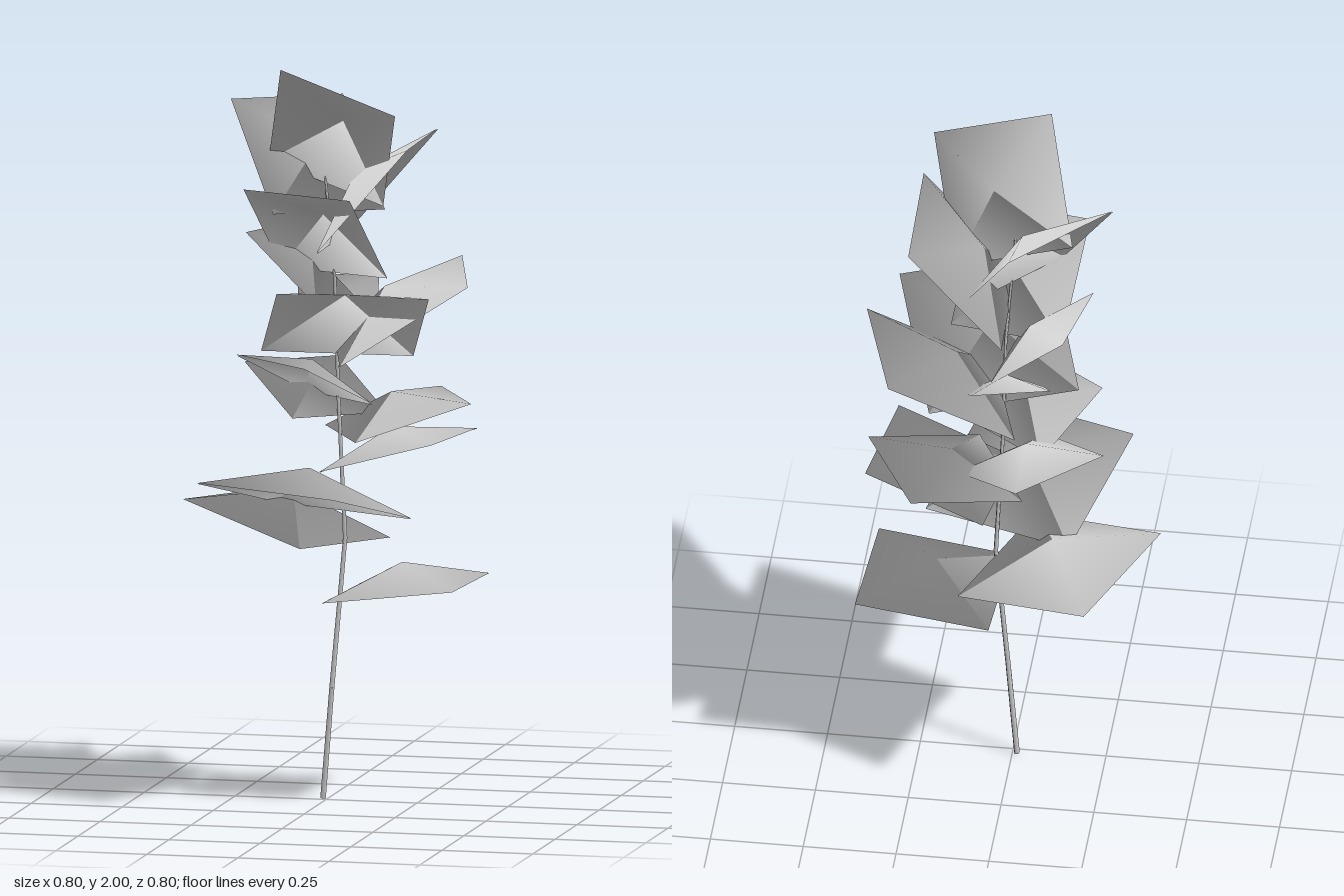
import * as THREE from 'three';

// Stem centre line, from the ground up
const STEM = [[-0.012, 0, -0.017], [0.012, 0.3, -0.018], [0.04, 0.7, -0.053], [0.02, 1.1, -0.055],
  [0.015, 1.4, -0.04], [-0.008, 1.72, -0.012]].map(p => new THREE.Vector3(...p));

// Leaves: height on the stem, then the two outer corners of the blade
const LEAVES = [
  [0.55, [0.4, 0.595, -0.2], [0.38, 0.595, 0.14]],
  [0.685, [-0.403, 0.79, -0.037], [-0.243, 0.77, -0.402]],
  [0.775, [0.113, 0.875, 0.4], [-0.29, 0.885, 0.264]],
  [0.9, [0.38, 0.995, -0.145], [0.33, 0.995, 0.165]],
  [0.98, [0.23, 1.07, -0.357], [0.38, 1.07, -0.08]],
  [1.03, [-0.268, 1.145, -0.18], [-0.055, 1.14, -0.37]],
  [1.08, [-0.235, 1.2, 0.045], [-0.01, 1.195, 0.21]],
  [1.2, [0.334, 1.4, 0.213], [-0.053, 1.42, 0.342]],
  [1.205, [0.4, 1.405, 0.043], [0.294, 1.43, -0.333]],
  [1.24, [0.08, 1.38, -0.27], [-0.13, 1.38, -0.222]],
  [1.34, [-0.16, 1.52, -0.197], [-0.214, 1.53, 0.03]],
  [1.42, [-0.186, 1.67, 0.168], [0.12, 1.66, 0.228]],
  [1.5, [0.255, 1.79, -0.217], [0.262, 1.79, 0.155]],
  [1.585, [-0.027, 1.86, -0.3], [-0.276, 1.875, -0.058]],
  [1.665, [-0.08, 2, 0.185], [0.24, 1.89, 0.207]],
];

// Point on the stem at a given height
function stemAt(y) {
  let i = 0;
  while (i < STEM.length - 2 && STEM[i + 1].y < y) i++;
  const a = STEM[i], b = STEM[i + 1];
  return a.clone().lerp(b, (y - a.y) / (b.y - a.y));
}

// Four-cornered blade, domed at its middle, one edge centred on the stem.
// An upper and a lower skin share normals that fan outwards from the stem, for soft foliage shading.
function leafGeometry(base, a, b) {
  const half = b.clone().sub(a).multiplyScalar(0.5);
  const out = a.clone().add(b).multiplyScalar(0.5).sub(base);
  const up = half.clone().cross(out).normalize();
  if (up.y < 0) {
    up.negate();
    half.negate();
    [a, b] = [b, a];
  }
  const middle = base.clone().addScaledVector(out, 0.5).addScaledVector(up, half.length() * 0.42);
  const sheet = [base.clone().sub(half), base.clone().add(half), b, a, middle];
  const origin = base.clone().addScaledVector(out, -0.3);
  const fan = sheet.flatMap(p => p.clone().sub(origin).normalize().toArray());
  const skin = offset => sheet.map(p => p.clone().addScaledVector(up, offset));
  const index = [];
  for (let i = 0; i < 4; i++) {
    const j = (i + 1) % 4;
    index.push(i, j, 4, j + 5, i + 5, 9);
  }
  const geometry = new THREE.BufferGeometry().setFromPoints([...skin(0.001), ...skin(-0.001)]);
  geometry.setAttribute('normal', new THREE.Float32BufferAttribute([...fan, ...fan], 3));
  geometry.setIndex(index);
  return geometry;
}

export function createModel() {
  const group = new THREE.Group();
  const material = new THREE.MeshStandardMaterial({ color: 0xcccccc });

  // Thin tapering stem in straight pieces
  const stem = new THREE.Group();
  stem.name = 'stem';
  const radius = y => 0.008 - 0.0025 * y;
  for (let i = 0; i < STEM.length - 1; i++) {
    const a = STEM[i], b = STEM[i + 1];
    const piece = new THREE.Mesh(
      new THREE.CylinderGeometry(radius(b.y), radius(a.y), a.distanceTo(b), 5), material);
    piece.name = 'stemPiece';
    piece.position.copy(a).lerp(b, 0.5);
    piece.quaternion.setFromUnitVectors(new THREE.Vector3(0, 1, 0), b.clone().sub(a).normalize());
    stem.add(piece);
  }
  group.add(stem);

  // Leaves, steeper towards the top
  const leaves = new THREE.Group();
  leaves.name = 'leaves';
  for (const [y, a, b] of LEAVES) {
    const leaf = new THREE.Mesh(
      leafGeometry(stemAt(y), new THREE.Vector3(...a), new THREE.Vector3(...b)), material);
    leaf.name = 'leaf';
    leaves.add(leaf);
  }
  group.add(leaves);
  return group;
}
